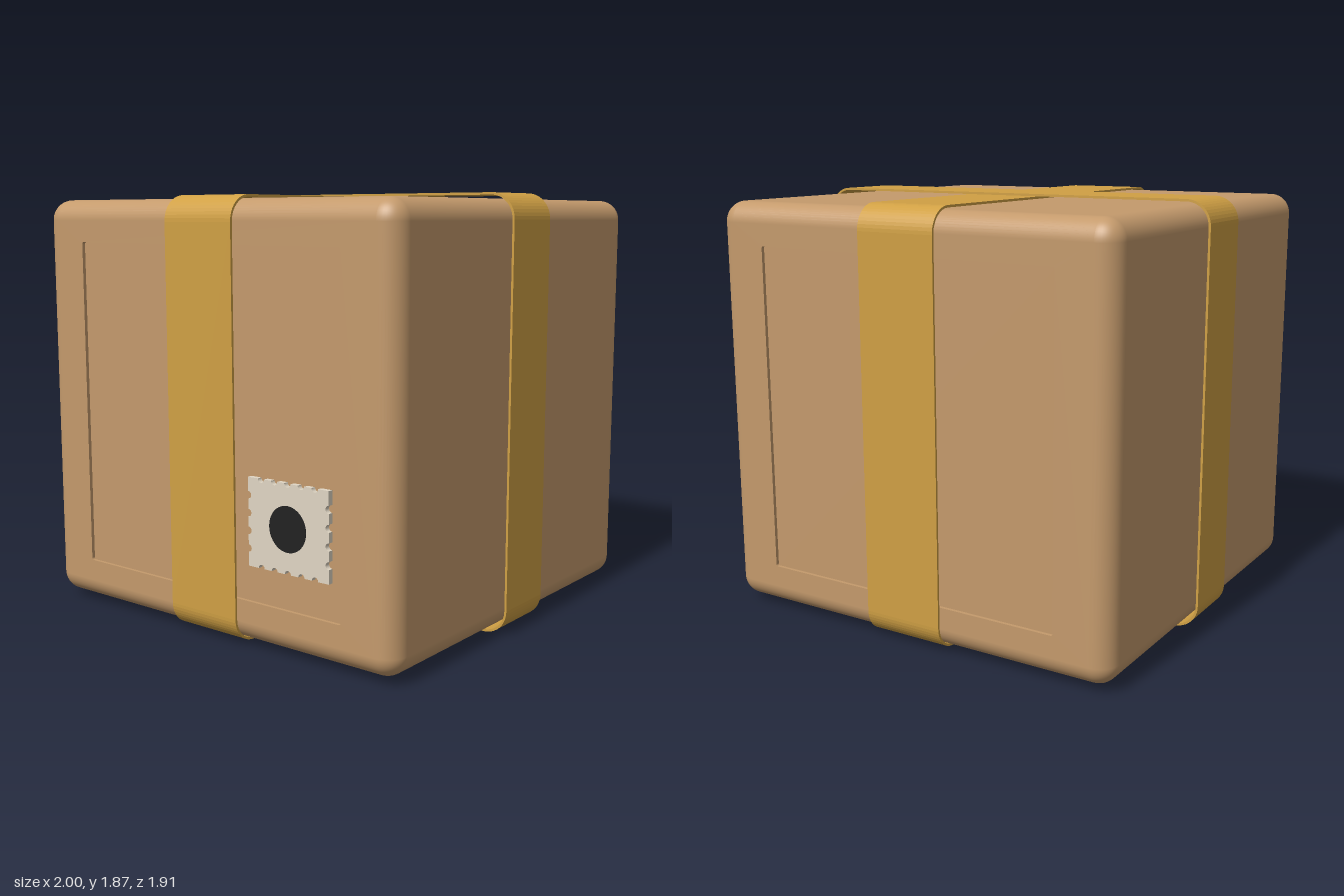
import * as THREE from 'three';
import { RoundedBoxGeometry } from 'three/addons/geometries/RoundedBoxGeometry.js';

const material = (color) => new THREE.MeshStandardMaterial({ color });
const CARD = material(0xc49a6c), TAPE = material(0xd0a044);
const PAPER = material(0xe0d6c4), INK = material(0x222222);

const MID = 0.935; // height of the box centre
const W = 1.95, H = 1.82, D = 1.884, R = 0.09;
const RECESS = 0.015;

function add(parent, name, geometry, mat, x = 0, y = 0, z = 0) {
  const mesh = new THREE.Mesh(geometry, mat);
  mesh.name = name;
  mesh.position.set(x, y, z);
  parent.add(mesh);
  return mesh;
}

// Rounded rectangle centred on (cx, cy)
function roundedRect(path, w, h, r, cx = 0, cy = 0) {
  const x = w / 2 - r, y = h / 2 - r;
  path.absarc(cx + x, cy + y, r, 0, Math.PI / 2);
  path.absarc(cx - x, cy + y, r, Math.PI / 2, Math.PI);
  path.absarc(cx - x, cy - y, r, Math.PI, Math.PI * 1.5);
  path.absarc(cx + x, cy - y, r, Math.PI * 1.5, Math.PI * 2);
  path.closePath();
  return path;
}

// Rounded box without its flat front and back, which get recessed panels
function shellGeometry() {
  const box = new RoundedBoxGeometry(W, H, D, 6, R);
  const p = box.attributes.position, n = box.attributes.normal;
  const pos = [], nor = [];
  for (let i = 0; i < p.count; i += 3) {
    const corners = [i, i + 1, i + 2];
    if (corners.every((k) => Math.abs(n.getZ(k)) > 0.9999)) continue;
    for (const k of corners) {
      pos.push(p.getX(k), p.getY(k), p.getZ(k));
      nor.push(n.getX(k), n.getY(k), n.getZ(k));
    }
  }
  const shell = new THREE.BufferGeometry();
  shell.setAttribute('position', new THREE.Float32BufferAttribute(pos, 3));
  shell.setAttribute('normal', new THREE.Float32BufferAttribute(nor, 3));
  return shell;
}

// Flat face with a sunken panel, facing +z
function panelFace(name) {
  const face = new THREE.Group();
  face.name = name;
  const x = W / 2 - R, y = H / 2 - R;
  const frame = new THREE.Shape([
    new THREE.Vector2(-x, -y), new THREE.Vector2(x, -y),
    new THREE.Vector2(x, y), new THREE.Vector2(-x, y),
  ]);
  frame.holes.push(roundedRect(new THREE.Path(), 1.45, 1.45, 0.01));
  add(face, 'panelFrame', new THREE.ExtrudeGeometry(frame,
    { depth: RECESS, bevelEnabled: false, curveSegments: 4 }), CARD, 0, 0, D / 2 - RECESS);
  add(face, 'sunkenPanel', new THREE.PlaneGeometry(1.47, 1.47), CARD, 0, 0, D / 2 - RECESS);
  return face;
}

// Closed band of tape around the box
function bandGeometry(w, h, width) {
  const t = 0.01, r = 0.11;
  const loop = roundedRect(new THREE.Shape(), w, h, r);
  loop.holes.push(roundedRect(new THREE.Path(), w - 2 * t, h - 2 * t, r - t));
  return new THREE.ExtrudeGeometry(loop, { depth: width, bevelEnabled: false, curveSegments: 6 })
    .translate(0, 0, -width / 2);
}

// Stamp outline with half-round bites along each side
function stampShape(w, h) {
  const shape = new THREE.Shape();
  const bite = 0.016;
  const sides = [[-w / 2, -h / 2, 0, w, 5], [w / 2, -h / 2, 1, h, 4],
    [w / 2, h / 2, 2, w, 5], [-w / 2, h / 2, 3, h, 4]];
  shape.moveTo(-w / 2, -h / 2);
  for (const [x, y, turn, length, bites] of sides) {
    const a = turn * Math.PI / 2, step = length / (bites + 1);
    for (let i = 1; i <= bites; i++) {
      shape.absarc(x + Math.cos(a) * step * i, y + Math.sin(a) * step * i, bite, a + Math.PI, a, true);
    }
    shape.lineTo(x + Math.cos(a) * length, y + Math.sin(a) * length);
  }
  return shape;
}

export function createModel() {
  const model = new THREE.Group();
  model.name = 'parcel';

  // Cardboard box
  const box = new THREE.Group();
  box.name = 'box';
  box.position.y = MID;
  add(box, 'boxShell', shellGeometry(), CARD);
  const back = panelFace('backFace');
  back.rotation.y = Math.PI;
  box.add(panelFace('frontFace'), back);
  model.add(box);

  // Crossed tape bands
  add(model, 'sidewaysTape', bandGeometry(2, 1.87, 0.3), TAPE, 0, MID, 0);
  add(model, 'lengthwaysTape', bandGeometry(1.914, 1.85, 0.37), TAPE, 0, MID, 0)
    .rotation.y = Math.PI / 2;

  // Postage stamp with a dark round mark
  const stamp = new THREE.Group();
  stamp.name = 'stamp';
  stamp.position.set(0.465, 0.55, D / 2 - RECESS);
  add(stamp, 'stampPaper', new THREE.ExtrudeGeometry(stampShape(0.416, 0.37),
    { depth: 0.022, bevelEnabled: false, curveSegments: 6 }), PAPER);
  add(stamp, 'stampMark', new THREE.CylinderGeometry(0.095, 0.095, 0.004, 40), INK, 0, 0, 0.022)
    .rotation.x = Math.PI / 2;
  model.add(stamp);

  return model;
}
